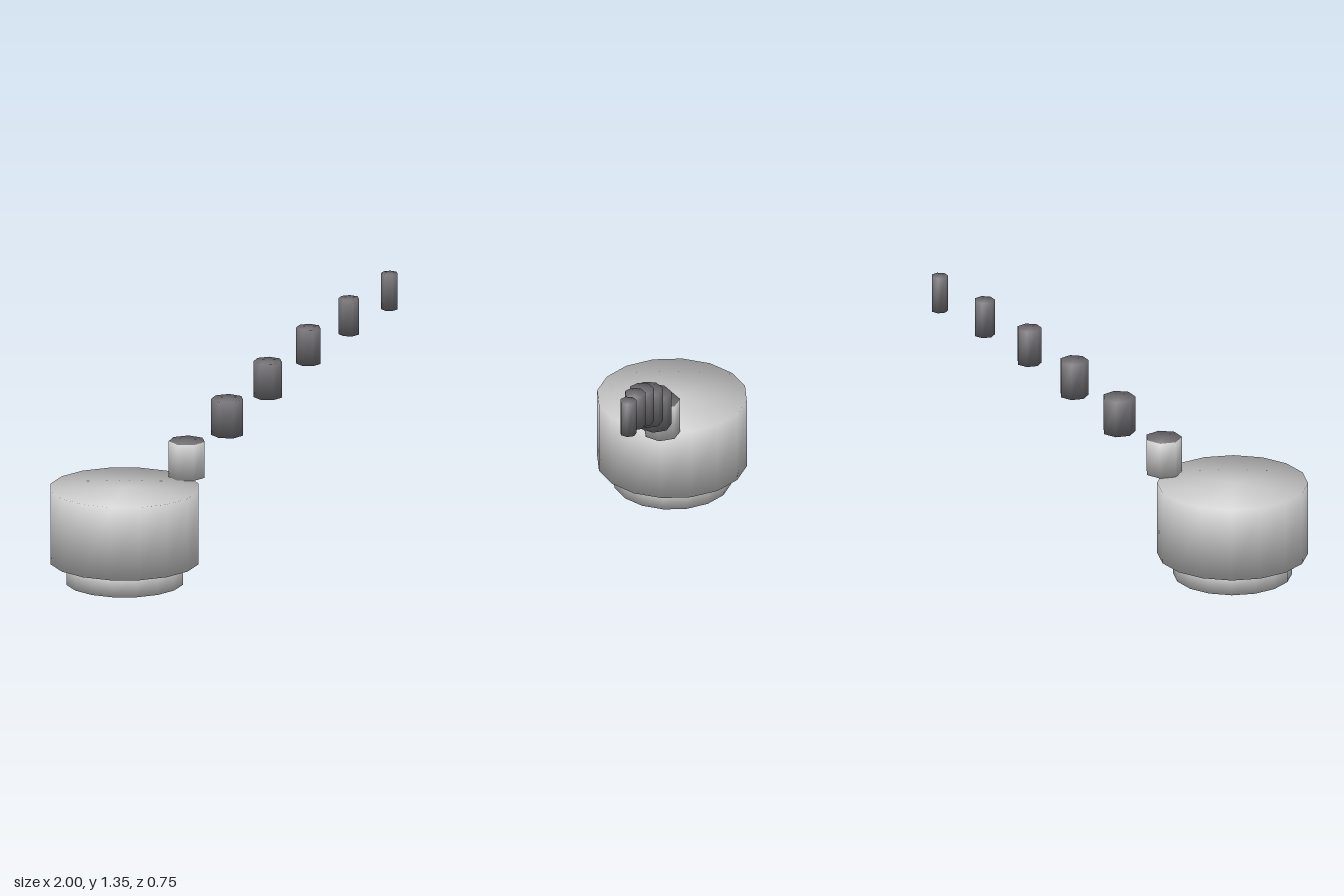
import * as THREE from 'three';

const light = new THREE.MeshStandardMaterial({ color: 0xcccccc });
const dark = new THREE.MeshStandardMaterial({ color: 0x706e72 });

// Upright prism with one corner towards +x and normals smoothed over its rims
function prism(name, radius, height, sides, x, bottom, material) {
  const geometry = new THREE.CylinderGeometry(radius, radius, height, sides);
  const { position, normal } = geometry.attributes;
  for (let i = 0; i < position.count; i++) {
    normal.setXYZ(
      i,
      Math.SQRT1_2 * position.getX(i) / radius,
      Math.SQRT1_2 * Math.sign(position.getY(i)),
      Math.SQRT1_2 * position.getZ(i) / radius
    );
  }
  geometry.rotateY(Math.PI / 2);
  const mesh = new THREE.Mesh(geometry, material);
  mesh.name = name;
  mesh.position.set(x, bottom + height / 2, 0);
  return mesh;
}

export function createModel() {
  const model = new THREE.Group();
  model.name = 'drumWithRisingPegs';

  // Drum on a narrower foot
  model.add(prism('foot', 0.295, 0.11, 16, -0.625, 0, light));
  model.add(prism('drum', 0.375, 0.375, 16, -0.625, 0.11, light));

  // Seven-sided pegs, thinning along an arc that rises from the drum's rim
  const pegs = new THREE.Group();
  pegs.name = 'pegs';
  for (let i = 0; i < 6; i++) {
    const bottom = 0.485 + 0.179 * i - 0.011 * i * (i - 1);
    const material = i === 0 ? [light, dark, light] : dark;
    pegs.add(prism('peg' + (i + 1), 0.092 - 0.01 * i, 0.185, 7, -0.252 + 0.242 * i, bottom, material));
  }
  model.add(pegs);
  return model;
}
